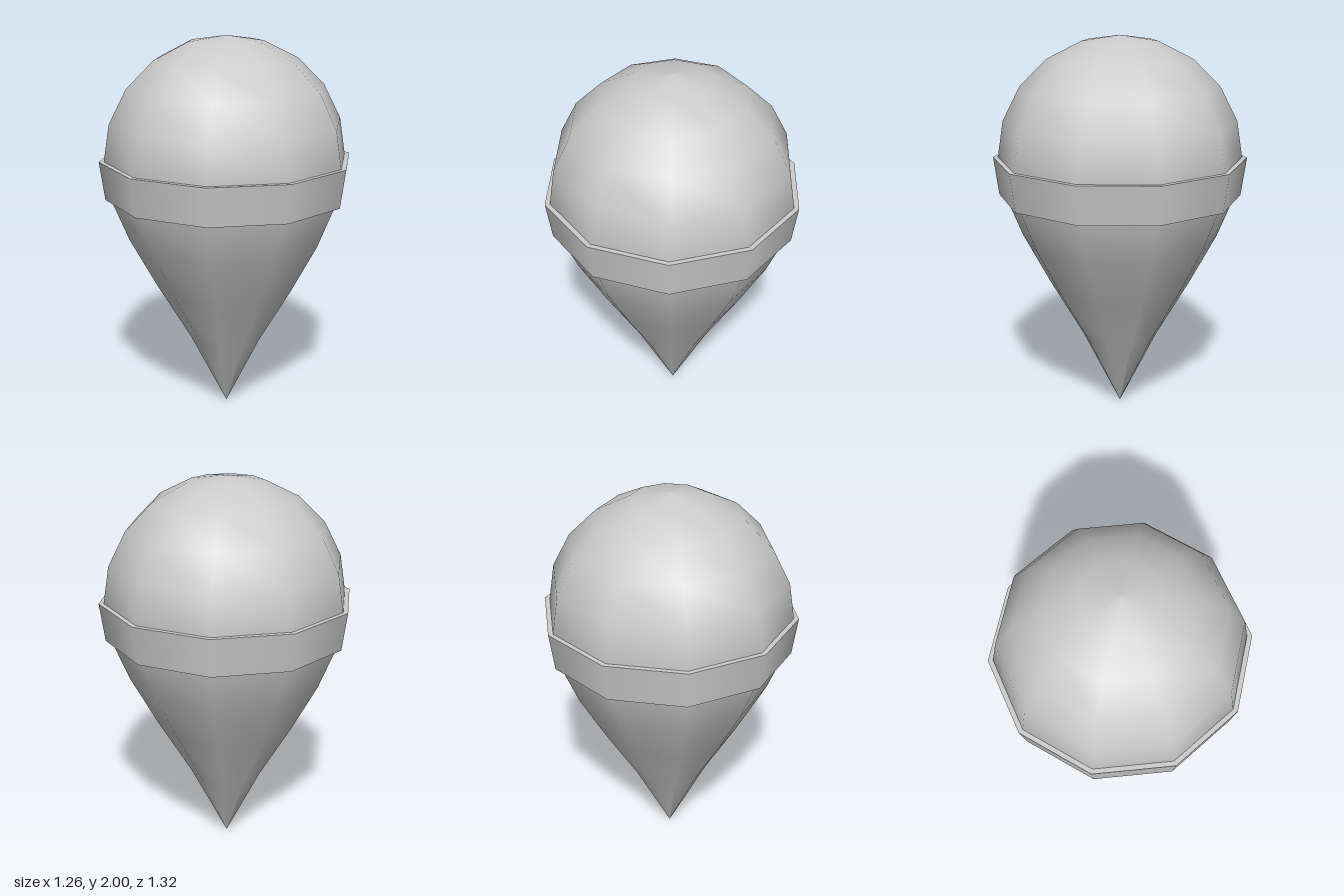
import * as THREE from 'three';

const SIDES = 10;

export function createModel() {
  const group = new THREE.Group();
  const material = new THREE.MeshStandardMaterial({ color: 0xcccccc });

  // Body: round dome above, drawn out to a point below
  const radius = 0.635, centre = 1.365;
  const profile = [[0, 0], [0.196, 0.39], [0.373, 0.69], [0.514, 0.95], [0.604, 1.17]]
    .map(([r, y]) => new THREE.Vector2(r, y));
  for (let i = 0; i <= 5; i++) {
    const a = (i * Math.PI) / 10;
    profile.push(new THREE.Vector2(i === 5 ? 0 : radius * Math.cos(a), centre + radius * Math.sin(a)));
  }
  const body = new THREE.Mesh(new THREE.LatheGeometry(profile, SIDES), material);
  body.name = 'body';
  group.add(body);

  // Band: flared collar around the widest part, with flat lips
  const band = new THREE.Mesh(new THREE.CylinderGeometry(0.66, 0.632, 0.2, SIDES), material);
  band.name = 'band';
  band.position.y = 1.27;
  group.add(band);

  return group;
}
